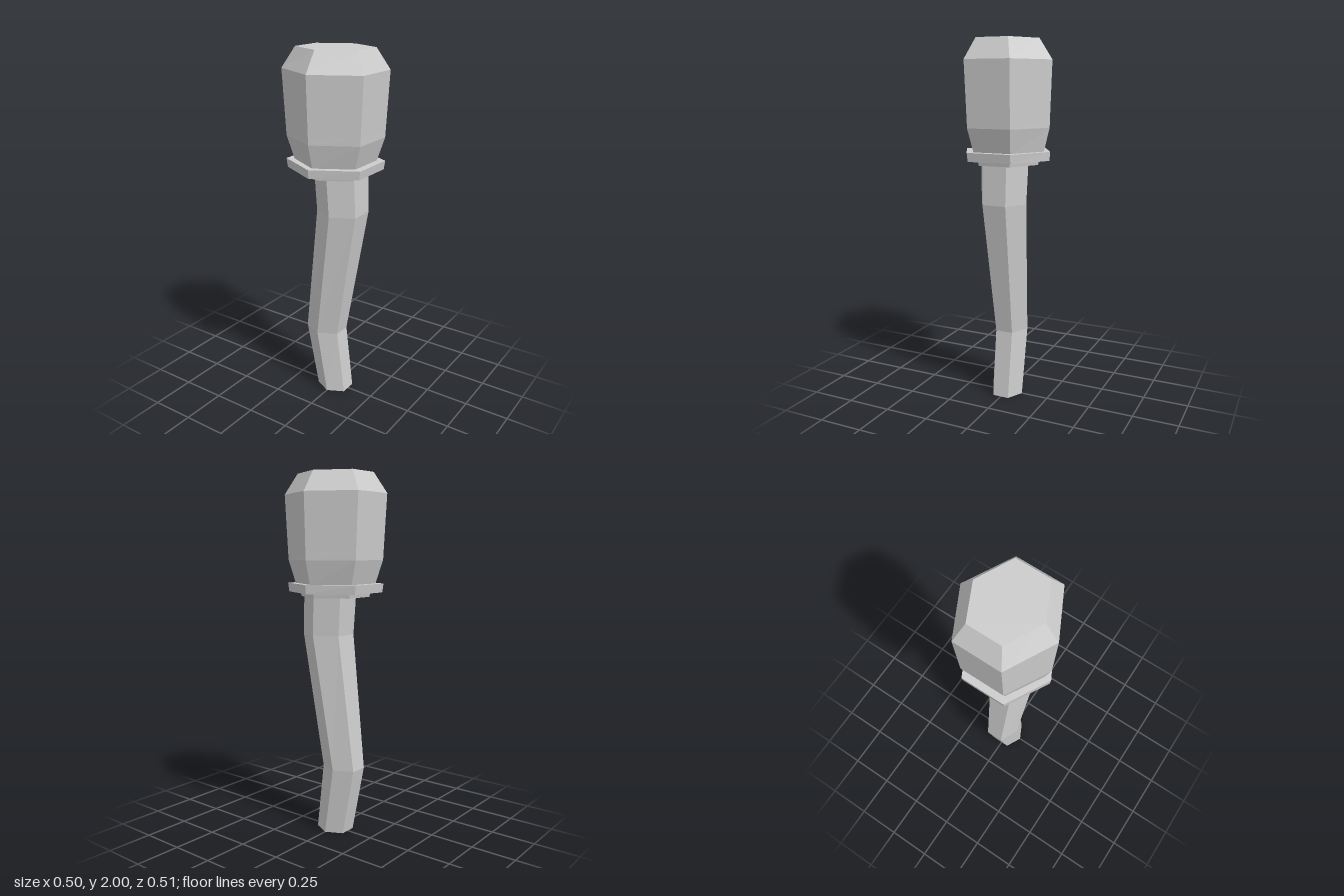
import * as THREE from 'three';

// Hexagon corners as fractions of the half width (x) and half depth (z)
const HEX = [[0, 1], [1, 0.5], [1, -0.5], [0, -1], [-1, -0.5], [-1, 0.5]];

// Closed hexagonal loft through rings of [y, half width, half depth, centre x]
function hexLoft(name, rings, material) {
  const positions = [];
  const point = ([y, hx, hz, cx = 0], i) => {
    const [u, v] = HEX[i % 6];
    return [cx + u * hx, y, v * hz];
  };
  const tri = (a, b, c) => positions.push(...a, ...b, ...c);
  // Side walls
  for (let r = 0; r < rings.length - 1; r++) {
    for (let i = 0; i < 6; i++) {
      const a = point(rings[r], i), b = point(rings[r], i + 1);
      const c = point(rings[r + 1], i + 1), d = point(rings[r + 1], i);
      tri(a, b, c);
      tri(a, c, d);
    }
  }
  // End caps
  const first = rings[0], last = rings[rings.length - 1];
  for (let i = 1; i < 5; i++) {
    tri(point(first, 0), point(first, i + 1), point(first, i));
    tri(point(last, 0), point(last, i), point(last, i + 1));
  }
  const geometry = new THREE.BufferGeometry();
  geometry.setAttribute('position', new THREE.Float32BufferAttribute(positions, 3));
  geometry.computeVertexNormals();
  const mesh = new THREE.Mesh(geometry, material);
  mesh.name = name;
  return mesh;
}

export function createModel() {
  const grey = new THREE.MeshStandardMaterial({ color: 0xcccccc, flatShading: true });
  grey.name = 'plain grey';

  const model = new THREE.Group();
  model.name = 'clubWithBentHandle';
  model.add(
    // Bent, tapering handle
    hexLoft('handle', [
      [0, 0.092, 0.093, 0],
      [0.38, 0.106, 0.099, -0.061],
      [1.13, 0.124, 0.135, 0.048],
      [1.345, 0.127, 0.141, 0.037],
    ], grey),
    // Stepped collar between handle and head
    hexLoft('lowerCollar', [
      [1.34, 0.166, 0.182],
      [1.37, 0.172, 0.187],
    ], grey),
    hexLoft('collarPlate', [
      [1.365, 0.228, 0.247],
      [1.413, 0.235, 0.251],
    ], grey),
    // Faceted head with a bevelled top
    hexLoft('head', [
      [1.41, 0.193, 0.214],
      [1.54, 0.232, 0.246],
      [1.58, 0.234, 0.247],
      [1.89, 0.25, 0.257],
      [2, 0.187, 0.183],
    ], grey),
  );
  return model;
}
